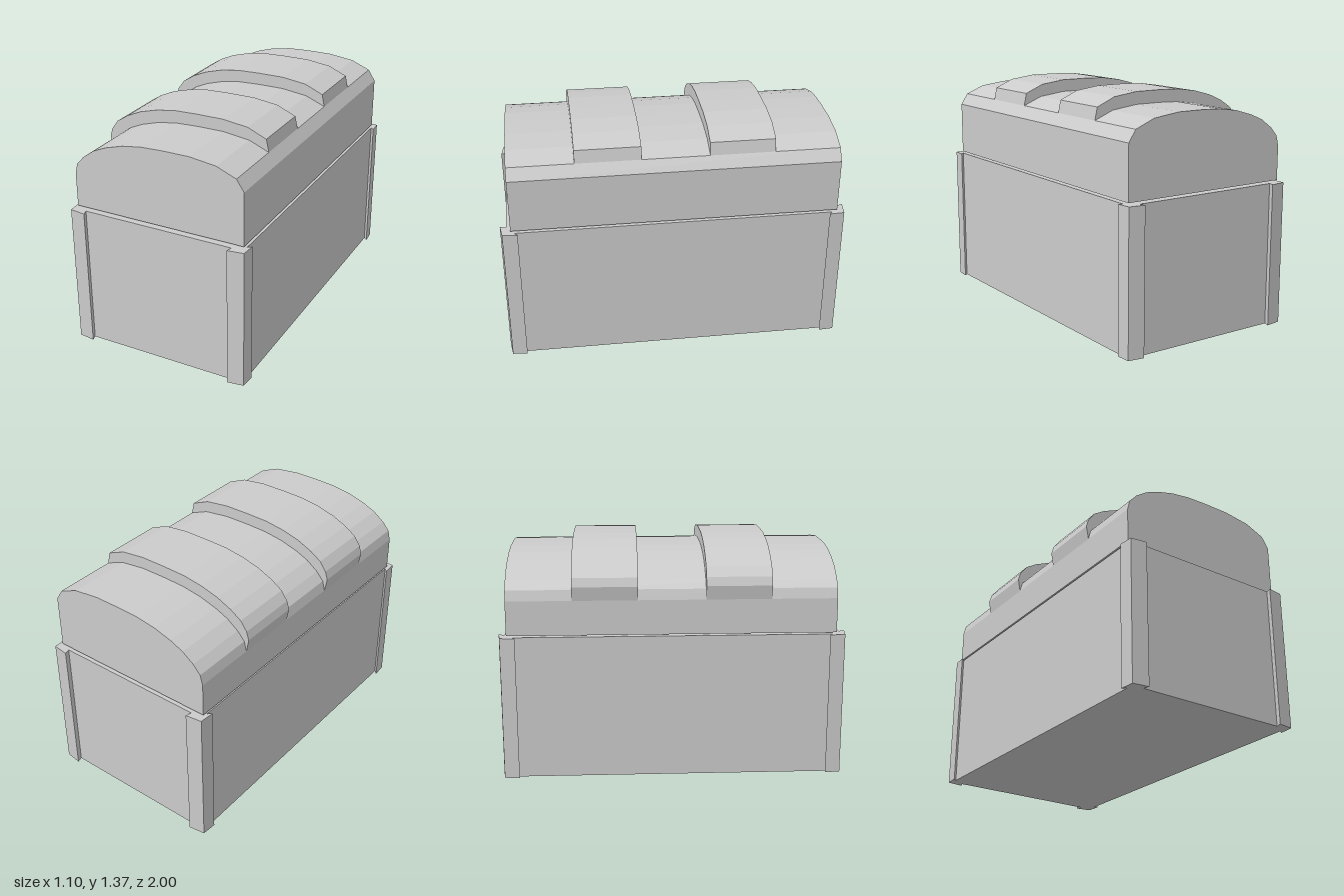
import * as THREE from 'three';

const material = new THREE.MeshStandardMaterial({ color: 0xcccccc, flatShading: true });

// Lid arch, left to right; slightly lopsided
const lidArch = [
  [-0.53, 1.05], [-0.515, 1.11], [-0.47, 1.16], [-0.4, 1.21], [-0.32, 1.245], [-0.21, 1.277],
  [-0.09, 1.295], [0.04, 1.3], [0.2, 1.3], [0.36, 1.28], [0.478, 1.232],
];
// Outer edge of the raised bands
const bandArch = [
  [-0.545, 1.13], [-0.53, 1.18], [-0.49, 1.235], [-0.42, 1.28], [-0.33, 1.32], [-0.22, 1.35],
  [-0.1, 1.368], [0.04, 1.372], [0.2, 1.372], [0.35, 1.353], [0.462, 1.305],
];

function prism(points, depth) {
  const shape = new THREE.Shape(points.map(([x, y]) => new THREE.Vector2(x, y)));
  return new THREE.ExtrudeGeometry(shape, { depth, bevelEnabled: false });
}

export function createModel() {
  const group = new THREE.Group();
  const add = (name, geometry) => {
    const mesh = new THREE.Mesh(geometry, material);
    mesh.name = name;
    group.add(mesh);
  };

  // Chest body
  add('body', new THREE.BoxGeometry(1.06, 0.84, 1.93).translate(0, 0.42, 0));

  // L-shaped corner posts with slightly slanted faces
  const corner = [[0.45, 1], [0.546, 0.987], [0.552, 0.9], [0.53, 0.92], [0.52, 0.955], [0.46, 0.965]];
  for (const sx of [-1, 1]) {
    for (const sz of [-1, 1]) {
      const outline = corner.map(([x, z]) => [x * sx, -z * sz]);
      add('cornerPost', prism(outline, 0.84).rotateX(-Math.PI / 2));
    }
  }

  // Arched lid, floating just above the body
  const lid = [[-0.53, 0.85], ...lidArch, [0.522, 1.165], [0.522, 0.85]];
  add('lid', prism(lid, 1.89).translate(0, 0, -0.95));

  // Raised bands across the lid, with their inner side sunk to the lid surface
  const band = [...bandArch, ...[...lidArch].reverse()];
  for (const z of [-0.575, 0.187]) add('lidBand', prism(band, 0.375).translate(0, 0, z));

  return group;
}
